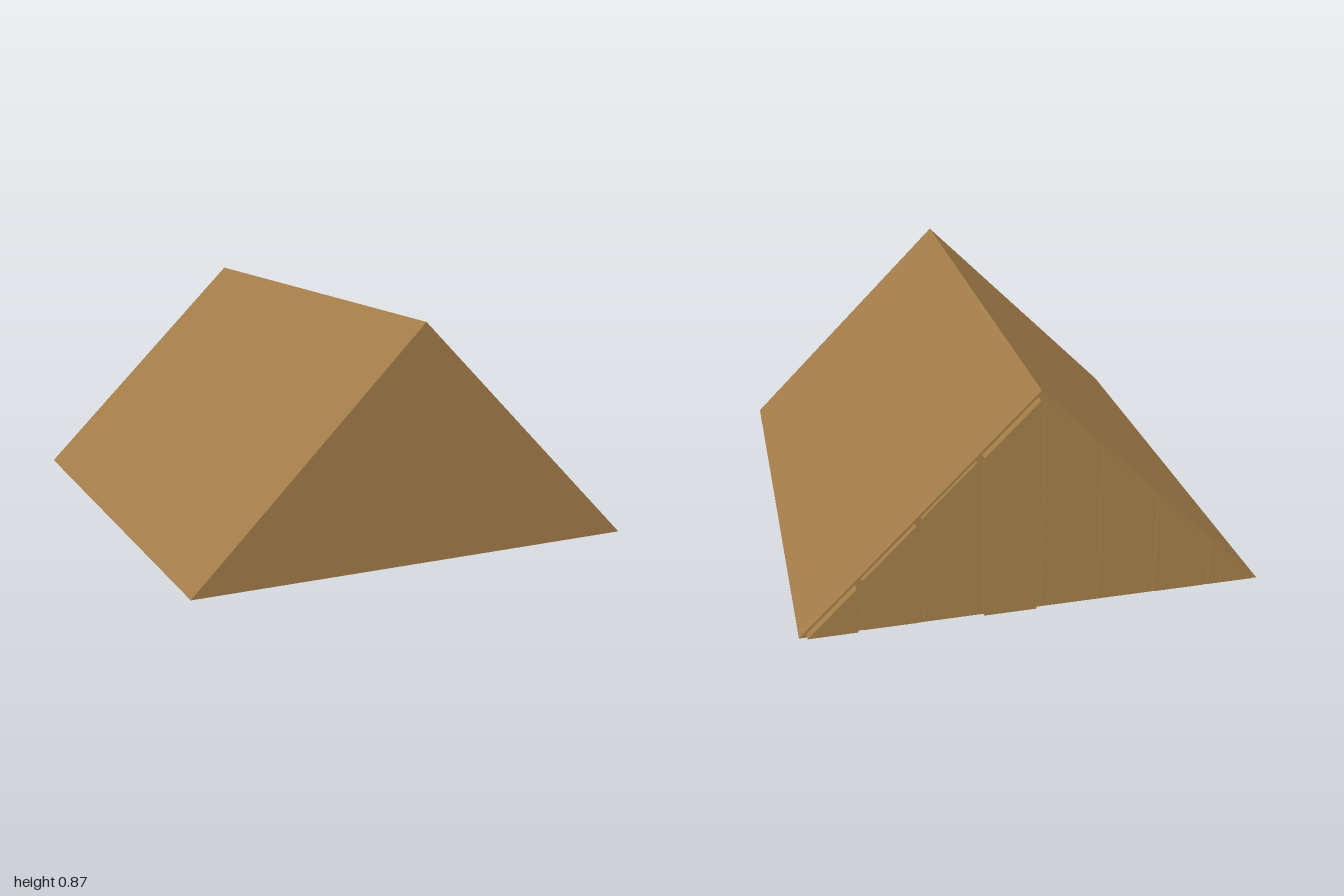
import * as THREE from 'three';

const HALF = 0.873;    // half width and height of the 45 degree gable
const BACK = -0.967;   // rear face of the roof body
const PLANK_TOP = 0.86, PLANK_BOTTOM = 0.015;

// Extrude an outline in x/y between two z positions
function slab(name, points, z0, z1, material) {
  const shape = new THREE.Shape(points.map(([x, y]) => new THREE.Vector2(x, y)));
  const geometry = new THREE.ExtrudeGeometry(shape, { depth: z1 - z0, bevelEnabled: false });
  geometry.translate(0, 0, z0);
  const mesh = new THREE.Mesh(geometry, material);
  mesh.name = name;
  return mesh;
}

export function createModel() {
  const model = new THREE.Group();
  model.name = 'gableRoof';
  const wood = new THREE.MeshStandardMaterial({ color: 0xa37d49 });
  wood.name = 'wood';

  // Solid triangular roof body
  model.add(slab('roofBody', [[-HALF, 0], [HALF, 0], [0, HALF]], BACK, 1, wood));

  // Vertical boards on the rear gable, cut along the slope, with uneven thickness
  const planks = new THREE.Group();
  planks.name = 'gablePlanks';
  const backs = [-0.99, -0.99, -0.982, -0.982, -1, -0.982, -0.99, -1];
  const step = 0.218, gap = 0.011;
  backs.forEach((z, i) => {
    const x0 = (i - 4) * step + gap;
    const x1 = x0 + step - 2 * gap;
    const limit = PLANK_TOP - PLANK_BOTTOM;
    const a = Math.max(x0, -limit), b = Math.min(x1, limit);
    const top = (x) => PLANK_TOP - Math.abs(x);
    const points = [];
    points.push([a, PLANK_BOTTOM], [b, PLANK_BOTTOM]);
    if (b < limit) points.push([b, top(b)]);
    if (a > -limit) points.push([a, top(a)]);
    planks.add(slab('plank' + (i + 1), points, z, BACK, wood));
  });
  model.add(planks);
  return model;
}
